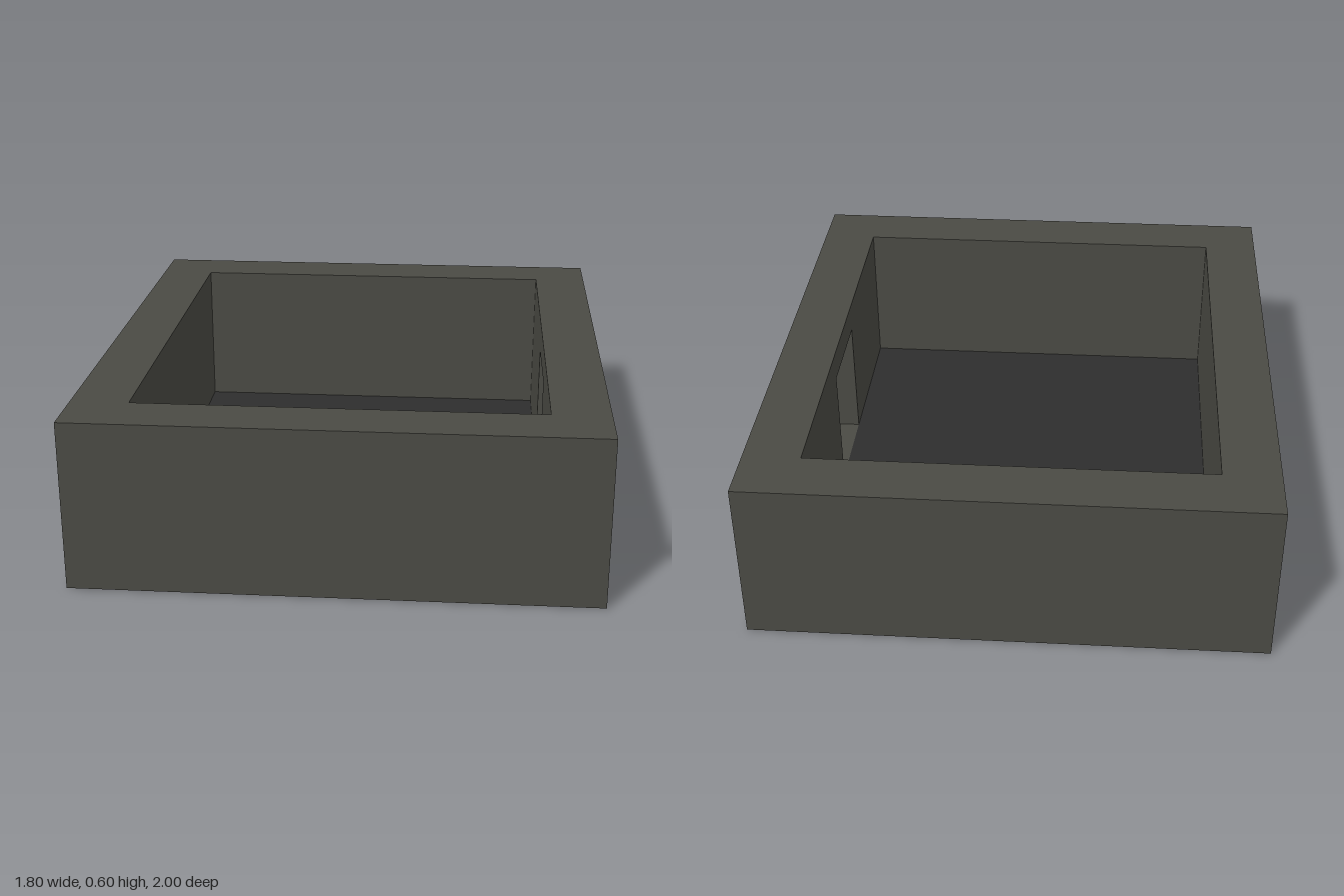
import * as THREE from 'three';

const BASE = 0.003, TOP = 0.6;

const polygon = (points) => points.map(([x, y]) => new THREE.Vector2(x, y));

const extrude = (shape, depth) =>
  new THREE.ExtrudeGeometry(shape, { depth, bevelEnabled: false });

export function createModel() {
  const group = new THREE.Group();
  const stone = new THREE.MeshStandardMaterial({ name: 'grey stone', color: 0x4a4a44 });
  const dark = new THREE.MeshStandardMaterial({ name: 'dark floor', color: 0x2d2d2d });

  const add = (name, geometry, material) => {
    const mesh = new THREE.Mesh(geometry, material);
    mesh.name = name;
    group.add(mesh);
    return mesh;
  };

  // Front, back and right walls as one U-shaped plan raised upwards
  const plan = new THREE.Shape(polygon([
    [-0.9, -1], [0.9, -1], [0.9, -0.8], [-0.7, -0.8],
    [-0.7, 0.8], [0.9, 0.8], [0.9, 1], [-0.9, 1],
  ]));
  const walls = add('solidWalls', extrude(plan, TOP - BASE).rotateX(-Math.PI / 2), stone);
  walls.position.y = BASE;

  // Left wall, drawn in side elevation, with the doorway cut through
  const side = new THREE.Shape(polygon([[-0.8, BASE], [0.8, BASE], [0.8, TOP], [-0.8, TOP]]));
  side.holes.push(new THREE.Path(polygon([[-0.2, 0.05], [-0.2, 0.5], [0.15, 0.5], [0.15, 0.05]])));
  const doorWall = add('doorwayWall', extrude(side, 0.2).rotateY(Math.PI / 2), stone);
  doorWall.position.x = 0.7;

  // Floor slab, level with the door sill and just proud of the walls underneath
  const floor = add('floor', new THREE.BoxGeometry(1.4, 0.05, 1.6), dark);
  floor.position.y = 0.025;

  return group;
}
